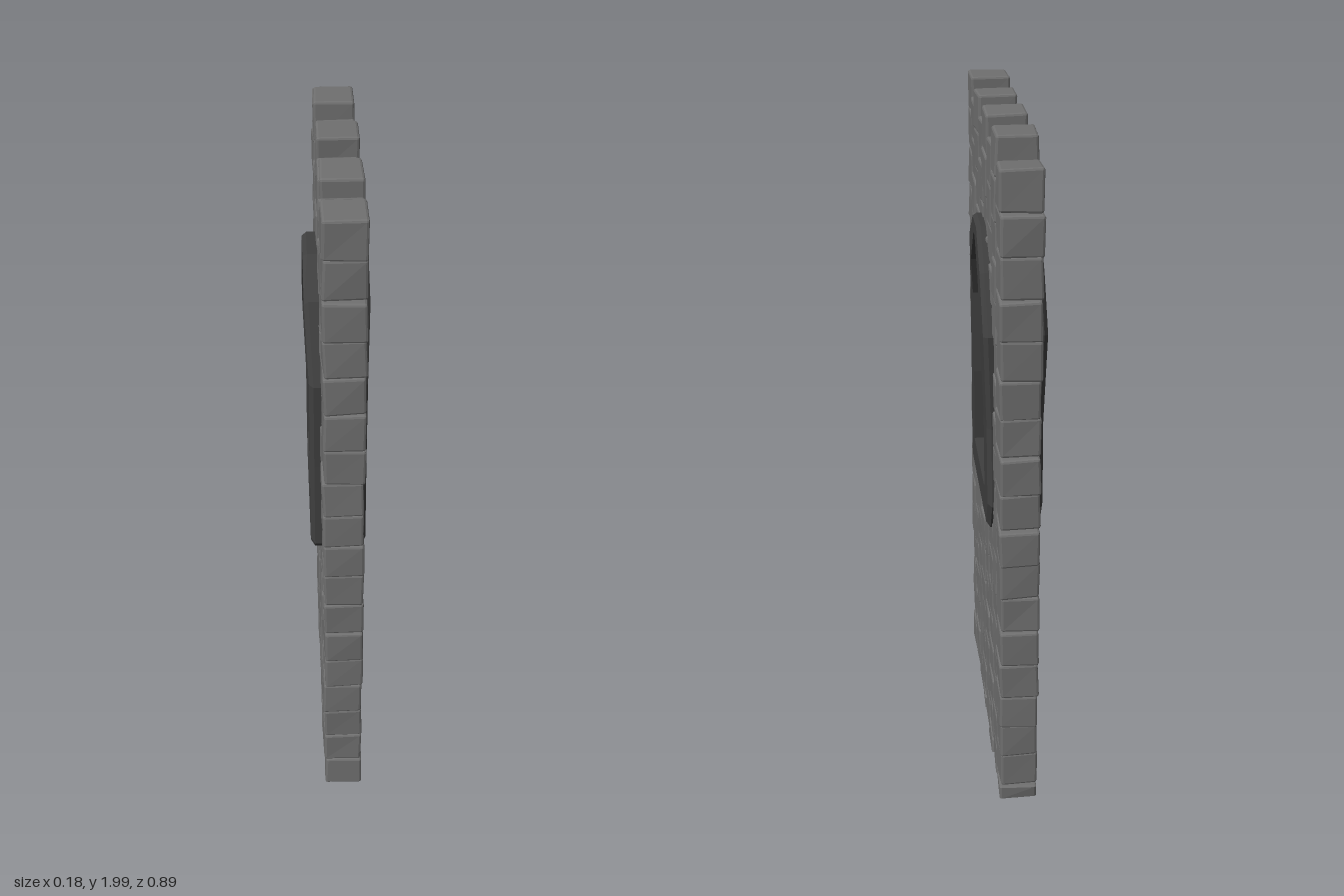
import * as THREE from 'three';
import { RoundedBoxGeometry } from 'three/addons/geometries/RoundedBoxGeometry.js';
import { mergeGeometries } from 'three/addons/utils/BufferGeometryUtils.js';

// Window outline: [outer z, outer y, inner z, inner y], up the +z side and down the -z side
const OUTLINE = [
  [0.257, 0.855, 0.16, 0.93], [0.25, 1.13, 0.15, 1.16], [0.257, 1.405, 0.16, 1.41],
  [0.156, 1.61, 0.114, 1.53], [0.045, 1.69, 0.015, 1.645], [-0.077, 1.69, -0.015, 1.645],
  [-0.17, 1.59, -0.1, 1.545], [-0.262, 1.44, -0.156, 1.41], [-0.25, 1.16, -0.15, 1.16],
  [-0.262, 0.92, -0.156, 0.95], [-0.21, 0.825, -0.15, 0.93], [0.232, 0.825, 0.155, 0.93],
];

const COLUMNS = 8, BRICK_W = 0.11, BRICK_H = 2 / 18;
const clamp = THREE.MathUtils.clamp;

let seed = 7;
function jitter(amount) {
  seed = (seed * 16807) % 2147483647;
  return (seed / 2147483647 * 2 - 1) * amount;
}

// Upper edge of the opening left in the bricks, hidden behind the frame
const openingTop = z => 1.67 - (Math.abs(z) < 0.11 ? Math.abs(z) : 0.11 + (Math.abs(z) - 0.11) * 1.4);
const OPENING_BOTTOM = 0.88;

// Chamfered box warped to eight shifted corners
function brick(z0, z1, y0, y1) {
  const inOpening = Math.abs(z0 + z1) / 2 < 0.2;
  const above = (y0 + y1) / 2 > 1.3;
  const trim = (y, z) => {
    if (!inOpening) return y;
    return above ? Math.max(y, openingTop(z)) : Math.min(y, OPENING_BOTTOM);
  };
  if (Math.max(trim(y1, z0) - trim(y0, z0), trim(y1, z1) - trim(y0, z1)) < 0.012) return null;

  const corners = [];
  const shiftX = jitter(0.002), shiftY = jitter(0.003), tilt = jitter(0.005);
  for (let k = 0; k < 8; k++) {
    const z = k & 4 ? z1 : z0, y = k & 2 ? y1 : y0;
    corners.push(new THREE.Vector3(
      (k & 1 ? 0.063 : -0.048) + shiftX + jitter(0.003),
      clamp(trim(y, z) + shiftY + (k & 4 ? tilt : -tilt) + jitter(0.003), 0.005, 2),
      z + jitter(0.004)));
  }

  const geo = new RoundedBoxGeometry(1, 1, 1, 1, 0.06);
  const pos = geo.attributes.position, p = new THREE.Vector3(), out = new THREE.Vector3();
  for (let i = 0; i < pos.count; i++) {
    p.fromBufferAttribute(pos, i).addScalar(0.5);
    out.set(0, 0, 0);
    corners.forEach((c, k) => out.addScaledVector(c,
      (k & 1 ? p.x : 1 - p.x) * (k & 2 ? p.y : 1 - p.y) * (k & 4 ? p.z : 1 - p.z)));
    pos.setXYZ(i, out.x, out.y, out.z);
  }
  geo.computeVertexNormals();
  return geo;
}

// Staggered columns of bricks; every second one starts with a half brick
function wallGeometry() {
  const bricks = [];
  for (let c = 0; c < COLUMNS; c++) {
    const z1 = COLUMNS * BRICK_W / 2 - c * BRICK_W;
    const top = c % 2 ? 2 - BRICK_H / 2 : 2;
    for (let r = 0; r < 18; r++) {
      const y1 = top - r * BRICK_H;
      const b = brick(z1 - BRICK_W, z1, Math.max(y1 - BRICK_H, 0), y1);
      if (b) bricks.push(b);
    }
  }
  return mergeGeometries(bricks);
}

// Closed ring with chamfered outer edges, a little deeper around the arch
function frameGeometry() {
  const rings = OUTLINE.map(([oz, oy, iz, iy]) => {
    const d = oy > 1.42 ? 0.088 : 0.079, e = d - 0.012;
    const cz = oz + (iz - oz) * 0.15, cy = oy + (iy - oy) * 0.15;
    return [[d, iy, iz], [d, cy, cz], [e, oy, oz], [-e, oy, oz], [-d, cy, cz], [-d, iy, iz]];
  });
  const verts = [];
  rings.forEach((ring, i) => {
    const next = rings[(i + 1) % rings.length];
    ring.forEach((a, j) => {
      const k = (j + 1) % ring.length;
      verts.push(...a, ...next[j], ...ring[k], ...next[j], ...next[k], ...ring[k]);
    });
  });
  const geo = new THREE.BufferGeometry();
  geo.setAttribute('position', new THREE.Float32BufferAttribute(verts, 3));
  geo.computeVertexNormals();
  return geo;
}

// Crooked bar along [-z, y] points, thickened by half-widths du and dv
function barGeometry(points, du, dv) {
  const side = s => points.map(([u, v]) => new THREE.Vector2(u + s * du, v + s * dv));
  const shape = new THREE.Shape([...side(1), ...side(-1).reverse()]);
  return new THREE.ExtrudeGeometry(shape, { depth: 0.026, bevelEnabled: false })
    .translate(0, 0, -0.013).rotateY(Math.PI / 2);
}

export function createModel() {
  const model = new THREE.Group();
  model.name = 'towerWallWithWindow';
  const stone = new THREE.MeshStandardMaterial({ color: 0x707070, flatShading: true });
  const dark = new THREE.MeshStandardMaterial({ color: 0x3f3f3f, flatShading: true });
  const pane = new THREE.MeshStandardMaterial({ color: 0xcccccc, side: THREE.DoubleSide });

  const add = (name, geo, mat) => {
    const mesh = new THREE.Mesh(geo, mat);
    mesh.name = name;
    model.add(mesh);
  };

  add('brickWall', wallGeometry(), stone);
  add('windowFrame', frameGeometry(), dark);

  // Glass pane in the middle of the wall
  const glass = new THREE.Shape(OUTLINE.map(o => new THREE.Vector2(-o[2], o[3])));
  add('glass', new THREE.ShapeGeometry(glass).rotateY(Math.PI / 2), pane);

  // Crooked glazing bars
  add('verticalBar', barGeometry(
    [[0, 0.92], [-0.003, 1.1], [0.012, 1.25], [0.022, 1.36], [0.014, 1.5], [0.002, 1.65]], 0.013, 0), dark);
  add('crossBar', barGeometry(
    [[-0.165, 1.345], [-0.1, 1.335], [0.015, 1.275], [0.1, 1.235], [0.16, 1.23]], 0, 0.016), dark);

  return model;
}
